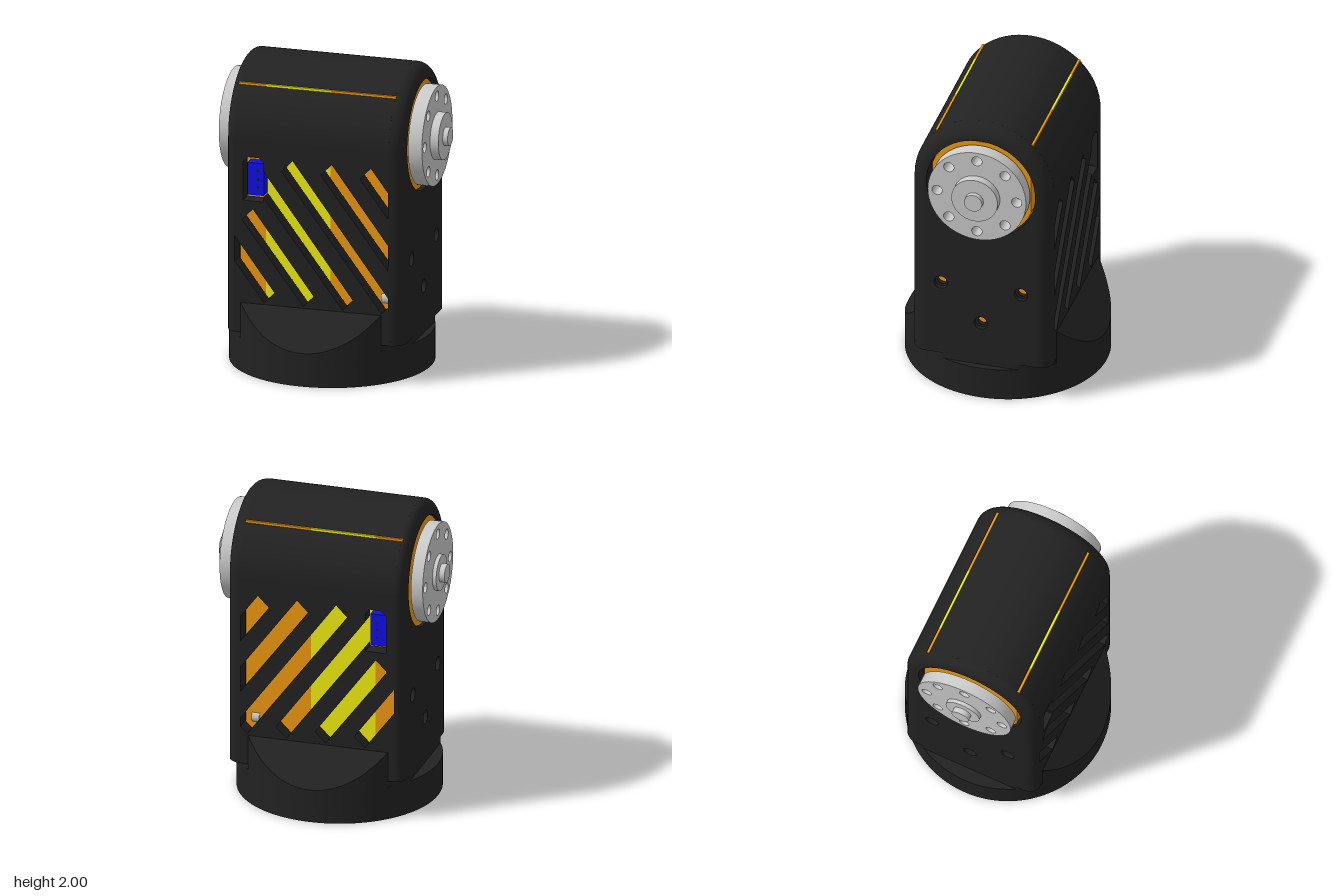
import * as THREE from 'three';
import { toCreasedNormals } from 'three/addons/utils/BufferGeometryUtils.js';

const mat = (color, side = THREE.FrontSide) => new THREE.MeshStandardMaterial({ color, side });
const BLACK = mat(0x222222), BLACK2 = mat(0x222222, THREE.DoubleSide);
const ORANGE = mat(0xf09a10), YELLOW = mat(0xf2f010), BLUE = mat(0x1010e8), GREY = mat(0xcccccc);

const AXIS_Y = 1.54, R = 0.46, INNER = 0.36, FLOOR = 0.26; // shell profile
const X0 = -0.55, X1 = 0.48;                               // inner faces of the side plates
const BASE_X = -0.04, BASE_R = 0.655, BASE_H = 0.22;

const poly = (pts, Kind = THREE.Shape) => new Kind(pts.map(p => new THREE.Vector2(p[0], p[1])));
const circle = (x, y, r, Kind = THREE.Path) => new Kind().absarc(x, y, r, 0, Math.PI * 2);

function extrude(shape, depth, segs = 24) {
  const g = new THREE.ExtrudeGeometry(shape, { depth, bevelEnabled: false, curveSegments: segs });
  return toCreasedNormals(g, 0.5);
}

// Side profile of the shell (z, y), drawn in by d
function outline(d) {
  const r = R - d, pts = [[r, FLOOR]];
  for (let i = 0; i <= 32; i++) {
    const a = i / 32 * Math.PI;
    pts.push([r * Math.cos(a), AXIS_Y + r * Math.sin(a)]);
  }
  pts.push([-r, FLOOR]);
  return pts;
}

// Cut a polygon to the span lo < x < hi
function clipX(pts, lo, hi) {
  for (const [s, lim] of [[1, lo], [-1, hi]]) {
    const out = [];
    pts.forEach((p, i) => {
      const q = pts[(i + 1) % pts.length];
      const a = (p[0] - lim) * s, b = (q[0] - lim) * s;
      if (a >= 0) out.push(p);
      if (a * b < 0) out.push([lim, p[1] + (q[1] - p[1]) * a / (a - b)]);
    });
    pts = out;
  }
  return pts;
}

// Diagonal vent slot whose upper edge passes (x, 1.43)
function slot(x, top = 1.43) {
  const s = x + (1.43 - top) / 1.35;
  return clipX([[s, top], [s - 0.074, top - 0.075], [x + 0.59, 0.47], [x + 0.66, 0.54]], X0 + 0.005, X1 - 0.005);
}

export function createModel() {
  const model = new THREE.Group();
  const add = (name, geo, material, x = 0, y = 0, z = 0, parent = model) => {
    const m = new THREE.Mesh(geo, material);
    m.name = name;
    m.position.set(x, y, z);
    parent.add(m);
    return m;
  };
  const cylX = (r, len) => new THREE.CylinderGeometry(r, r, len, 48).rotateZ(Math.PI / 2);

  // Round base with three groups of bolt holes underneath
  const baseShape = circle(0, 0, BASE_R, THREE.Shape);
  for (const deg of [-90, 30, 150]) {
    for (const [da, rad, r] of [[0, 0.21, 0.036], [-29, 0.28, 0.025], [29, 0.28, 0.025]]) {
      const a = (deg + da) * Math.PI / 180;
      baseShape.holes.push(circle(rad * Math.cos(a), rad * Math.sin(a), r));
    }
  }
  add('base', extrude(baseShape, BASE_H, 48).rotateX(-Math.PI / 2), BLACK, BASE_X);

  // Neck between base and shell, held within the shell's footprint
  const neck = new THREE.CylinderGeometry(BASE_R, BASE_R, 0.1, 96);
  const np = neck.attributes.position;
  for (let i = 0; i < np.count; i++) {
    np.setX(i, THREE.MathUtils.clamp(np.getX(i), -0.57, 0.61));
    np.setZ(i, THREE.MathUtils.clamp(np.getZ(i), -0.455, 0.455));
  }
  add('neck', toCreasedNormals(neck, 0.5), BLACK, BASE_X, 0.23);

  // Sloped flares: round wall of the base, cut by a plane rising to the shell
  const flare = new THREE.PlaneGeometry(1, 1, 40, 2);
  const fp = flare.attributes.position;
  for (let i = 0; i < fp.count; i++) {
    const x = ((i % 41) / 40 * 2 - 1) * 0.466, row = Math.floor(i / 41);
    const z = Math.sqrt(BASE_R ** 2 - x * x);
    const cut = BASE_H + (BASE_R - z) * 1.23;
    fp.setXYZ(i, x, [0.2, cut, 0.46][row], row === 2 ? 0.458 : z);
  }
  const flareGeo = toCreasedNormals(flare, 0.4);
  add('frontFlare', flareGeo, BLACK2, BASE_X);
  add('backFlare', flareGeo, BLACK2, BASE_X).rotation.y = Math.PI;

  // Front and back walls with diagonal vents and a connector window
  const wall = poly([[X0, FLOOR], [X1, FLOOR], [X1, AXIS_Y], [X0, AXIS_Y]]);
  for (const pts of [slot(0.36), slot(0.1), slot(-0.16), slot(-0.68, 1.085), slot(-0.94)]) {
    wall.holes.push(poly(pts, THREE.Path));
  }
  wall.holes.push(poly([[-0.455, 1.43], [-0.385, 1.43], [-0.355, 1.4], [-0.355, 1.345], [0.24, 0.54],
    [0.17, 0.47], [-0.355, 1.17], [-0.355, 1.14], [-0.49, 1.14], [-0.49, 1.395]], THREE.Path));
  const wallGeo = extrude(wall, R - INNER);
  add('frontWall', wallGeo, BLACK, 0, 0, INNER);
  add('backWall', wallGeo, BLACK, 0, 0, -R);

  // Arched top
  const arch = new THREE.Shape();
  arch.absarc(0, AXIS_Y, R, 0, Math.PI, false);
  arch.absarc(0, AXIS_Y, INNER, Math.PI, 0, true);
  add('archTop', extrude(arch, X1 - X0, 32).rotateY(Math.PI / 2), BLACK, X0);

  // Floor plate
  const fl = new THREE.Shape(), c = 0.09;
  fl.absarc(0.57 - c, R - c, c, 0, Math.PI / 2);
  fl.absarc(-0.61 + c, R - c, c, Math.PI / 2, Math.PI);
  fl.absarc(-0.61 + c, -R + c, c, Math.PI, Math.PI * 1.5);
  fl.absarc(0.57 - c, -R + c, c, Math.PI * 1.5, Math.PI * 2);
  add('floorPlate', extrude(fl, 0.03).rotateX(-Math.PI / 2), BLACK, 0, FLOOR);

  // Side plates with rounded rims, a large bore and three countersunk screw holes
  const screwSpots = [[-0.265, 0.79], [0.265, 0.79], [0, 0.53]];
  for (const [side, inner, dir, t] of [['right', X0, -1, 0.06], ['left', X1, 1, 0.09]]) {
    const plate = poly(outline(0.09));
    plate.holes.push(circle(0, AXIS_Y, INNER));
    screwSpots.forEach(([z, y]) => plate.holes.push(circle(z, y, 0.045)));
    add(side + 'Plate', extrude(plate, t, 32).rotateY(Math.PI / 2), BLACK, dir > 0 ? inner : inner - t);

    const rim = new THREE.PlaneGeometry(1, 1, 34, 8), rp = rim.attributes.position;
    for (let j = 0; j <= 8; j++) {
      const a = j / 8 * Math.PI / 2;
      outline(0.09 * (1 - Math.sin(a))).forEach(([z, y], i) =>
        rp.setXYZ(j * 35 + i, inner + dir * t * Math.cos(a), y, z));
    }
    rim.computeVertexNormals();
    add(side + 'Rim', rim, BLACK2);

    screwSpots.forEach(([z, y]) => add('countersink',
      new THREE.RingGeometry(0.027, 0.045, 24).rotateY(Math.PI / 2), BLACK2, inner + dir * (t - 0.03), y, z));
  }

  // Servo case in three sections
  const servo = new THREE.Group();
  servo.name = 'servo';
  model.add(servo);
  for (const [name, a, b, m] of [['servoRearCase', -0.56, -0.38, ORANGE],
    ['servoMiddleCase', -0.38, 0.05, YELLOW], ['servoFrontCase', 0.05, 0.485, ORANGE]]) {
    add(name, new THREE.BoxGeometry(b - a, 1.45, 0.65), m, (a + b) / 2, 1.155, 0, servo);
  }
  // Round servo boss filling the bore, flattened at front and back
  const boss = cylX(0.355, 1.14), bp = boss.attributes.position;
  for (let i = 0; i < bp.count; i++) {
    bp.setZ(i, THREE.MathUtils.clamp(bp.getZ(i), -0.325, 0.325));
    bp.setY(i, Math.min(bp.getY(i), 0.34));
  }
  add('servoBoss', toCreasedNormals(boss, 0.5), ORANGE, -0.025, AXIS_Y, 0, servo);

  // Connectors with pin sockets, and case screws, on both faces
  for (const s of [1, -1]) {
    add('connector', new THREE.BoxGeometry(0.11, 0.215, 0.08), BLUE, -0.425, 1.268, s * 0.36, servo);
    for (const y of [1.21, 1.265, 1.32]) {
      add('pinSocket', new THREE.CylinderGeometry(0.009, 0.009, 0.004, 12).rotateX(Math.PI / 2),
        BLACK, -0.412, y, s * 0.4, servo);
    }
    add('caseScrew', cylX(0.04, 0.05), GREY, 0.415, 0.53, s * 0.3, servo);
  }

  // Output horns: drilled disc, collar and hub
  const disc = circle(0, 0, 0.325, THREE.Shape);
  for (let i = 0; i < 8; i++) {
    const a = i * Math.PI / 4;
    disc.holes.push(circle(0.263 * Math.cos(a), 0.263 * Math.sin(a), 0.034));
  }
  for (const [side, dir, start, faces, collarR] of [
    ['left', 1, 0.565, [0.657, 0.712, 0.745], 0.153], ['right', -1, 0.615, [0.693, 0.718, 0.755], 0.118]]) {
    const horn = new THREE.Group();
    horn.name = side + 'Horn';
    horn.position.y = AXIS_Y;
    model.add(horn);
    const [d, k, h] = faces;
    add('hornDisc', extrude(disc, d - start, 32).rotateY(Math.PI / 2), GREY, dir > 0 ? start : -d, 0, 0, horn);
    add('hornCollar', cylX(collarR, k - start), GREY, dir * (k + start) / 2, 0, 0, horn);
    add('hornHub', cylX(0.06, h - start), GREY, dir * (h + start) / 2, 0, 0, horn);
  }
  return model;
}
